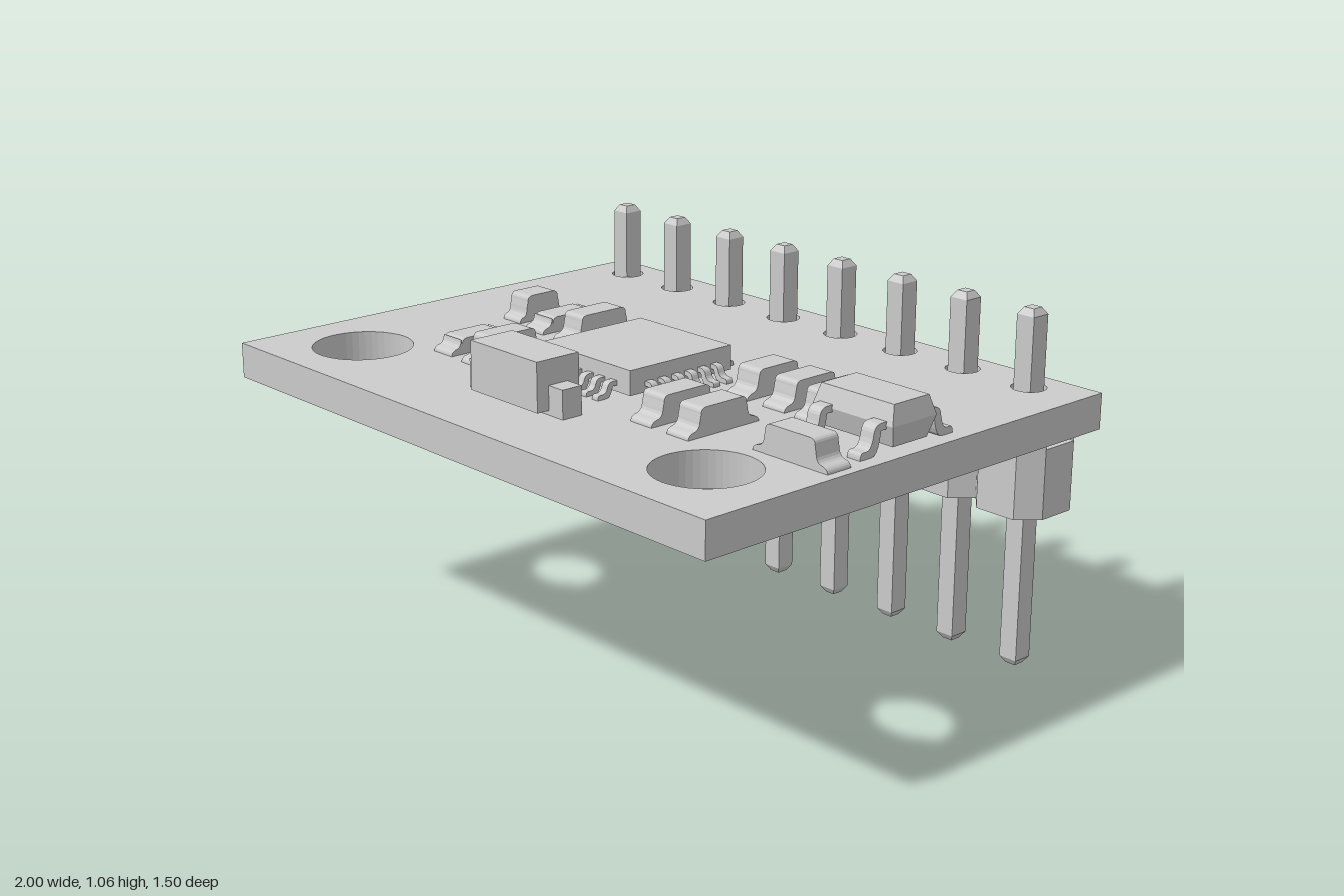
import * as THREE from 'three';

const material = new THREE.MeshStandardMaterial({ color: 0xcccccc, flatShading: true });
const TOP = 0.83; // upper face of the board
const PIN_Z = -0.633, PITCH = 0.2407, PINS = 8;
const pinX = i => -0.855 + i * PITCH;

function add(parent, name, geometry, x = 0, y = 0, z = 0) {
  const mesh = new THREE.Mesh(geometry, material);
  mesh.name = name;
  mesh.position.set(x, y, z);
  parent.add(mesh);
  return mesh;
}

const polygon = pts => new THREE.Shape(pts.map(p => new THREE.Vector2(...p)));

// Plan shape (x, -z) raised from y = 0 to height
function slab(shape, height) {
  return new THREE.ExtrudeGeometry(shape, { depth: height, bevelEnabled: false, curveSegments: 24 }).rotateX(-Math.PI / 2);
}

// Side profile (x, y) given a width centred on z
function profile(shape, width) {
  return new THREE.ExtrudeGeometry(shape, { depth: width, bevelEnabled: false, curveSegments: 5 }).translate(0, 0, -width / 2);
}

// Rectangular section lofted through levels [y, halfX, halfZ]
function loft(levels) {
  const pos = [], idx = [];
  for (const [y, a, b] of levels) pos.push(-a, y, b, a, y, b, a, y, -b, -a, y, -b);
  for (let l = 0; l < levels.length - 1; l++) {
    for (let k = 0; k < 4; k++) {
      const p = l * 4 + k, q = l * 4 + (k + 1) % 4;
      idx.push(p, q, q + 4, p, q + 4, p + 4);
    }
  }
  const t = (levels.length - 1) * 4;
  idx.push(0, 2, 1, 0, 3, 2, t, t + 1, t + 2, t, t + 2, t + 3);
  const g = new THREE.BufferGeometry();
  g.setAttribute('position', new THREE.Float32BufferAttribute(pos, 3));
  g.setIndex(idx);
  const flat = g.toNonIndexed();
  flat.computeVertexNormals();
  return flat;
}

function makeBoard(parent) {
  const shape = polygon([[-1, -0.75], [1, -0.75], [1, 0.74], [-1, 0.74]]);
  const hole = (x, z, r) => shape.holes.push(new THREE.Path().absarc(x, -z, r, 0, Math.PI * 2, true));
  hole(-0.74, 0.5, 0.148);
  hole(0.735, 0.5, 0.148);
  for (let i = 0; i < PINS; i++) hole(pinX(i), PIN_Z, 0.05);
  add(parent, 'board', slab(shape, 0.105), 0, TOP - 0.105, 0);
}

// Row of bevelled cells between depths; the inner edge is either the mirror or a straight line
function headerRow(parent) {
  const h = PITCH / 2, f = 0.067, d = 0.06, D = 0.12;
  const scallop = [];
  for (let i = 0; i < PINS; i++) {
    const x = pinX(i);
    scallop.push([x - h, d], [x - f, D], [x + f, D]);
  }
  scallop.push([pinX(PINS - 1) + h, d]);
  const mirrored = scallop.map(([x, v]) => [x, -v]).reverse();
  add(parent, 'headerBody', slab(polygon([...scallop, ...mirrored]), 0.205), 0, 0.485, PIN_Z);
  // Ridges on both sides of the top channel
  for (let i = 0; i < PINS; i++) {
    for (const s of [-1, 1]) {
      const ridge = polygon([[-h, s * d], [-f, s * D], [f, s * D], [h, s * d]]);
      add(parent, 'headerRidge', slab(ridge, 0.036), pinX(i), 0.689, PIN_Z);
    }
  }
}

// Two-terminal chip with a low curved foot at each end, running along z
function makeChip(parent, name, x, z0, z1, width, height, foot = 0.045) {
  const L = (z1 - z0) / 2, b = L - foot, r = 0.018, t = 0.014;
  const s = new THREE.Shape();
  s.moveTo(-L, 0);
  s.lineTo(L, 0);
  s.quadraticCurveTo(L, t, L - r, t + 0.004);
  s.quadraticCurveTo(b + 0.006, t + 0.006, b + 0.004, t + 0.03);
  s.lineTo(b, height - r);
  s.quadraticCurveTo(b, height, b - r, height);
  s.lineTo(-b + r, height);
  s.quadraticCurveTo(-b, height, -b, height - r);
  s.lineTo(-b - 0.004, t + 0.03);
  s.quadraticCurveTo(-b - 0.006, t + 0.006, -L + r, t + 0.004);
  s.quadraticCurveTo(-L, t, -L, 0);
  const mesh = add(parent, name, profile(s, width), x, TOP, (z0 + z1) / 2);
  mesh.rotation.y = Math.PI / 2;
  return mesh;
}

// Bent lead starting inside a body at x = 0 and ending in a flat foot at x = reach
function leadGeometry(reach, rise, thick, width) {
  const k = reach * 0.42, m = reach * 0.55;
  const s = new THREE.Shape();
  s.moveTo(-0.02, rise);
  s.lineTo(k - thick, rise);
  s.quadraticCurveTo(k, rise, k + thick * 0.3, rise - thick);
  s.quadraticCurveTo(m, thick, m + thick, thick);
  s.lineTo(reach - thick * 0.5, thick);
  s.quadraticCurveTo(reach, thick, reach, 0);
  s.lineTo(m, 0);
  s.quadraticCurveTo(k - thick * 0.6, 0, k - thick, rise - thick);
  s.lineTo(-0.02, rise - thick);
  s.closePath();
  return profile(s, width);
}

function makeMainChip(parent) {
  const g = new THREE.Group();
  g.name = 'mainChip';
  g.position.set(-0.003, TOP, 0.083);
  parent.add(g);
  add(g, 'chipBody', new THREE.BoxGeometry(0.38, 0.072, 0.375), 0, 0.049, 0);
  const lead = leadGeometry(0.068, 0.045, 0.014, 0.024);
  for (let side = 0; side < 4; side++) {
    const row = new THREE.Group();
    row.name = 'leadRow';
    row.rotation.y = side * Math.PI / 2;
    g.add(row);
    for (let i = 0; i < 6; i++) add(row, 'chipLead', lead, 0.188, 0, (i - 2.5) * 0.049);
  }
}

function makeRegulator(parent) {
  const g = new THREE.Group();
  g.name = 'regulator';
  g.position.set(0.836, TOP, 0);
  parent.add(g);
  add(g, 'regulatorBody', loft([[0.015, 0.126, 0.064], [0.075, 0.141, 0.083], [0.13, 0.128, 0.066]]));
  const lead = leadGeometry(0.095, 0.085, 0.02, 0.045);
  for (const [x, s] of [[-0.095, -1], [0, -1], [0.095, -1], [-0.095, 1], [0.095, 1]]) {
    add(g, 'regulatorLead', lead, x, 0, s * 0.08).rotation.y = -s * Math.PI / 2;
  }
}

export function createModel() {
  const model = new THREE.Group();
  model.name = 'sensorBoard';
  makeBoard(model);
  headerRow(model);

  // Square pins with tapered tips
  const pin = loft([[0, 0.017, 0.017], [0.02, 0.03, 0.03], [1.04, 0.03, 0.03], [1.06, 0.017, 0.017]]);
  for (let i = 0; i < PINS; i++) add(model, 'pin', pin, pinX(i), 0, PIN_Z);

  // Small two-terminal parts: x, z from, z to, width, height, foot
  const chips = [
    [-0.655, -0.17, 0.01, 0.08, 0.08, 0.032],
    [-0.513, -0.2, 0.038, 0.083, 0.047, 0.04],
    [-0.513, 0.143, 0.378, 0.083, 0.047, 0.04],
    [-0.372, -0.212, 0.047, 0.08, 0.08],
    [-0.372, 0.133, 0.388, 0.08, 0.08],
    [0.363, -0.2, 0.038, 0.083, 0.08],
    [0.363, 0.133, 0.388, 0.083, 0.08],
    [0.505, -0.2, 0.038, 0.083, 0.08],
    [0.505, 0.133, 0.388, 0.083, 0.08],
    [0.633, -0.212, 0.047, 0.08, 0.08],
  ];
  for (const c of chips) makeChip(model, 'smallChip', ...c);
  makeChip(model, 'sidewaysChip', 0.838, 0.135, 0.401, 0.083, 0.083).rotation.y = 0;

  makeMainChip(model);
  makeRegulator(model);

  // Block capacitor with a terminal through both ends
  add(model, 'capacitorBody', new THREE.BoxGeometry(0.285, 0.142, 0.145), -0.004, 0.914, 0.483);
  add(model, 'capacitorTerminals', new THREE.BoxGeometry(0.4, 0.083, 0.066), -0.004, TOP + 0.0415, 0.483);
  return model;
}
